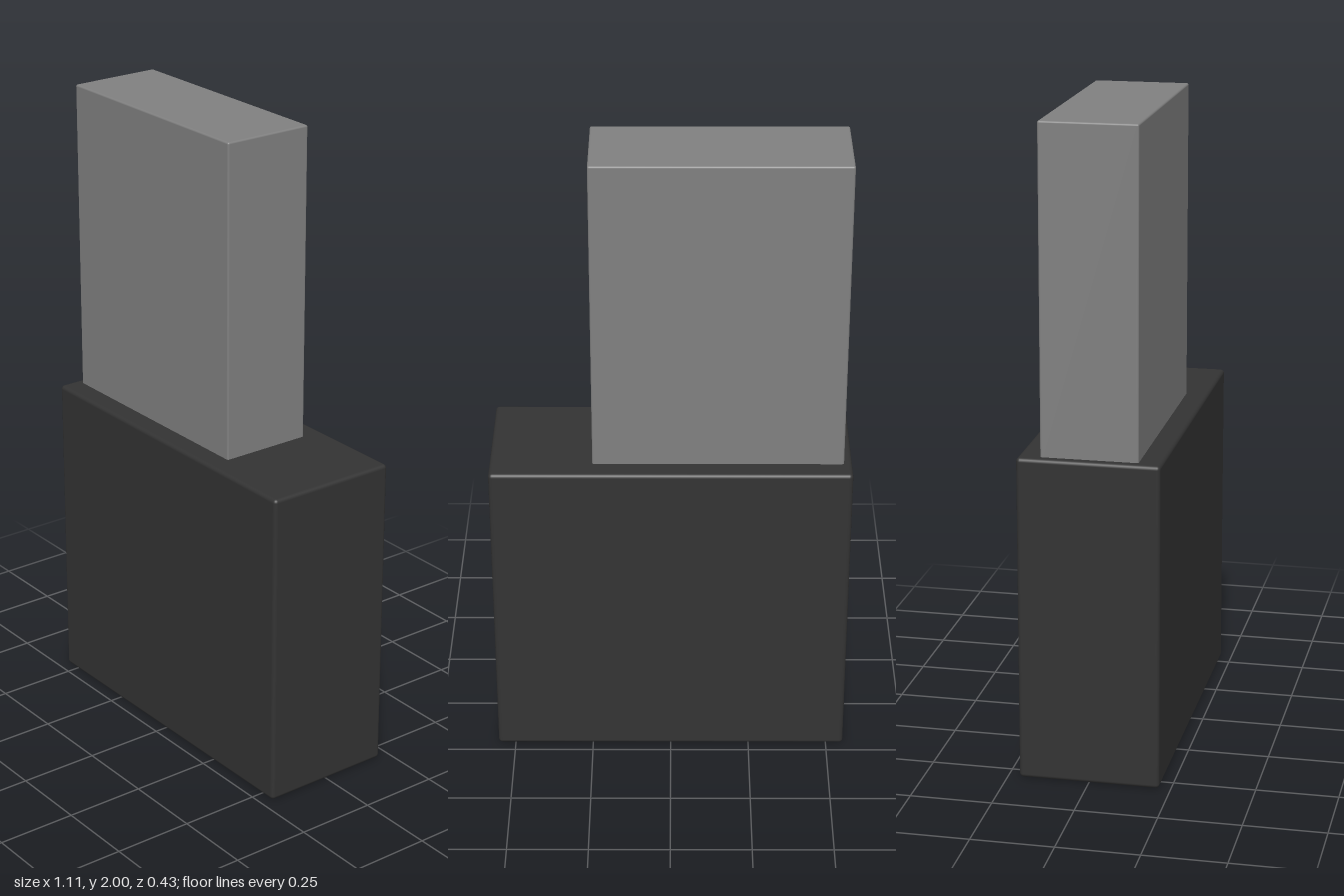
import * as THREE from 'three';
import { RoundedBoxGeometry } from 'three/addons/geometries/RoundedBoxGeometry.js';

// Softly rounded block spanning the given x and y ranges, centred on z = 0
function block(name, [x0, x1], [y0, y1], depth, radius, color) {
  const mesh = new THREE.Mesh(
    new RoundedBoxGeometry(x1 - x0, y1 - y0, depth, 3, radius),
    new THREE.MeshStandardMaterial({ color })
  );
  mesh.name = name;
  mesh.position.set((x0 + x1) / 2, (y0 + y1) / 2, 0);
  return mesh;
}

export function createModel() {
  const model = new THREE.Group();
  model.name = 'steppedBlocks';

  // Wide dark block standing on the ground
  model.add(block('lowerBlock', [-0.555, 0.555], [0, 1.01], 0.43, 0.012, 0x333333));

  // Narrower grey block, offset to the right and seated slightly into the lower one
  model.add(block('upperBlock', [-0.53, 0.24], [0.99, 2], 0.294, 0.006, 0x808080));

  return model;
}
